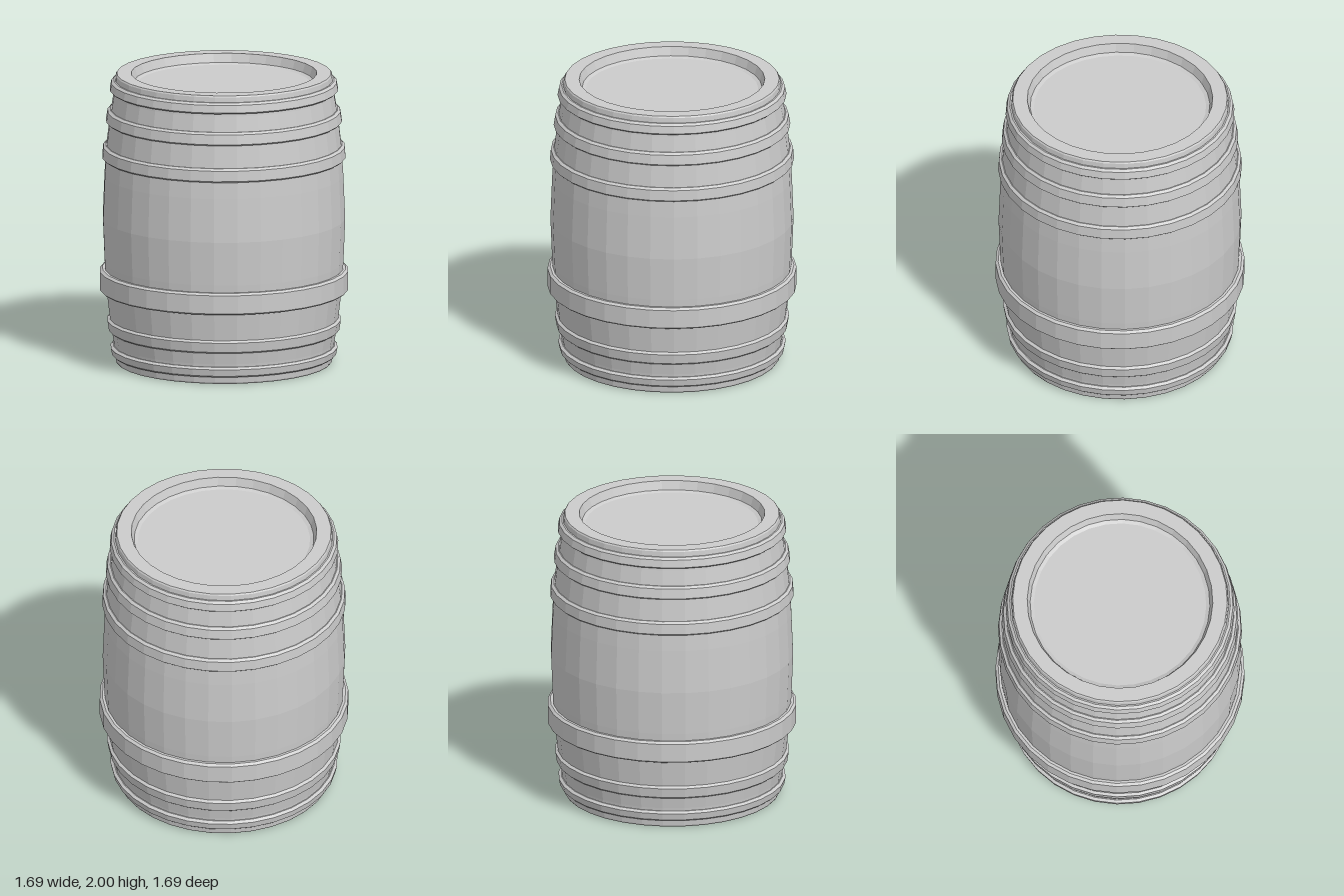
import * as THREE from 'three';

const SIDES = 32;
const material = new THREE.MeshStandardMaterial({ color: 0xcccccc, flatShading: true });

// Revolves a profile of [radius, height] pairs, listed so the outside is climbed upwards
function revolve(name, profile) {
  const points = profile.map(([r, y]) => new THREE.Vector2(r, y));
  const mesh = new THREE.Mesh(new THREE.LatheGeometry(points, SIDES), material);
  mesh.name = name;
  return mesh;
}

export function createModel() {
  const barrel = new THREE.Group();
  barrel.name = 'barrel';

  // Lower half of the bulging wall, with the rim and recessed head; the upper half mirrors it
  const half = [
    [0, 0.07], [0.585, 0.07], [0.61, 0.06], [0.63, 0],
    [0.728, 0], [0.735, 0.01], [0.75, 0.14], [0.775, 0.29], [0.8, 0.5], [0.813, 0.7],
  ];
  const mirrored = half.map(([r, y]) => [r, 2 - y]).reverse();
  barrel.add(revolve('staves', [...half, [0.825, 1], ...mirrored]));

  // Hoops: bottom height, top height, lower and upper outer radius
  const hoops = [
    [0.05, 0.12, 0.763, 0.772],
    [0.22, 0.31, 0.785, 0.795],
    [0.5, 0.65, 0.845, 0.845],
    [1.415, 1.51, 0.828, 0.822],
    [1.665, 1.755, 0.803, 0.792],
    [1.88, 1.955, 0.777, 0.767],
  ];
  hoops.forEach(([y0, y1, r0, r1], i) => {
    barrel.add(revolve(`hoop${i + 1}`, [
      [r0 - 0.05, y0], [r0 - 0.012, y0], [r0, y0 + 0.01],
      [r1, y1 - 0.014], [r1 - 0.018, y1], [r1 - 0.05, y1],
    ]));
  });

  return barrel;
}
